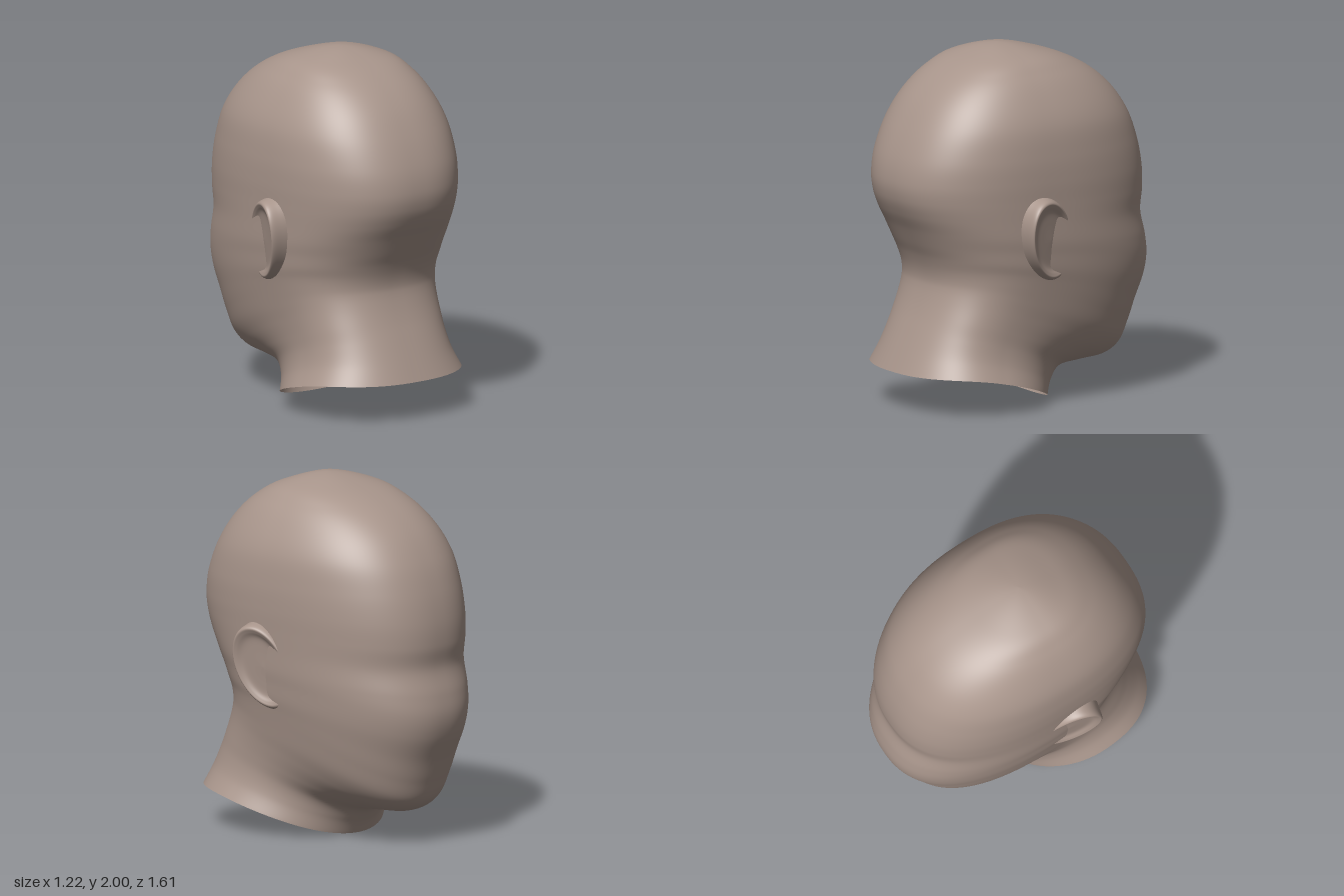
import * as THREE from 'three';

const material = new THREE.MeshStandardMaterial({ color: 0xa8958b, side: THREE.DoubleSide });

// Smoothly interpolates a table of rows; t runs from 0 to 1 between rows first and last.
function sample(rows, t, first, last) {
  const f = first + t * (last - first);
  const i = Math.min(Math.floor(f), last - 1);
  const k = f - i;
  const at = (n) => rows[Math.max(0, Math.min(rows.length - 1, n))];
  return rows[i].map((_, c) => {
    const [a, b, d, e] = [at(i - 1)[c], at(i)[c], at(i + 1)[c], at(i + 2)[c]];
    return b + 0.5 * k * (d - a + k * (2 * a - 5 * b + 4 * d - e + k * (3 * (b - d) + e - a)));
  });
}

// Skin over closed loops: point(t, angle) gives [x, y, z], t from the open rim to the pole.
function loopSkin(point, rows, cols) {
  const positions = [];
  const index = [];
  for (let j = 0; j <= rows; j++) {
    for (let i = 0; i < cols; i++) {
      positions.push(...point(j / rows, (i / cols) * Math.PI * 2));
      if (j === rows) continue;
      const a = j * cols + i;
      const b = j * cols + ((i + 1) % cols);
      index.push(a, a + cols, b, b, a + cols, b + cols);
    }
  }
  const geometry = new THREE.BufferGeometry();
  geometry.setAttribute('position', new THREE.Float32BufferAttribute(positions, 3));
  geometry.setIndex(index);
  geometry.computeVertexNormals();
  return geometry;
}

// Tilted rings, neck rim to crown: face z, face y, nape z, nape y, side z, side y, half width
const rings = [
  [-0.14, 0, 0.79, 0.22, 0.35, 0.18, 0.5],
  [-0.18, 0.08, 0.74, 0.33, 0.33, 0.27, 0.455],
  [-0.25, 0.15, 0.69, 0.44, 0.31, 0.36, 0.435],
  [-0.4, 0.165, 0.65, 0.53, 0.27, 0.44, 0.435],
  [-0.55, 0.18, 0.62, 0.61, 0.2, 0.52, 0.445],
  [-0.64, 0.24, 0.6, 0.68, 0.14, 0.59, 0.46],
  [-0.69, 0.36, 0.595, 0.73, 0.1, 0.66, 0.475],
  [-0.73, 0.48, 0.605, 0.79, 0.07, 0.73, 0.49],
  [-0.785, 0.62, 0.63, 0.86, 0.06, 0.8, 0.505],
  [-0.805, 0.74, 0.665, 0.93, 0.05, 0.88, 0.515],
  [-0.79, 0.86, 0.71, 1.02, 0.05, 0.96, 0.525],
  [-0.755, 1, 0.76, 1.11, 0.05, 1.07, 0.53],
  [-0.767, 1.13, 0.795, 1.2, 0.05, 1.18, 0.535],
  [-0.76, 1.27, 0.805, 1.3, 0.05, 1.3, 0.54],
  [-0.725, 1.43, 0.78, 1.43, 0.06, 1.44, 0.537],
  [-0.66, 1.59, 0.71, 1.59, 0.06, 1.6, 0.515],
  [-0.55, 1.74, 0.61, 1.74, 0.07, 1.74, 0.455],
  [-0.39, 1.86, 0.48, 1.86, 0.08, 1.86, 0.37],
  [-0.18, 1.945, 0.32, 1.945, 0.09, 1.945, 0.255],
  [0.09, 2, 0.09, 2, 0.09, 2, 0],
];
const crown = rings.length - 1;
// Ring mirrored through the crown so the top closes as a round dome
const [zF, yF, zB, yB, zS, yS, wS] = rings[crown - 1];
rings.push([zB, yB, zF, yF, zS, yS, -wS]);

function headPoint(t, angle) {
  const [faceZ, faceY, napeZ, napeY, sideZ, sideY, width] = sample(rings, t, 0, crown);
  const c = Math.cos(angle);
  const s = Math.sin(angle);
  // Squarish ovals: rounder at the throat, fuller at the face and the back
  const n = c > 0 ? 2 + 0.3 * THREE.MathUtils.smoothstep(t, 0.1, 0.35) : 2.45;
  const u = Math.sign(c) * Math.abs(c) ** (2 / n);
  const x = width * Math.sign(s) * Math.abs(s) ** (2 / n);
  const z = sideZ + Math.abs(u) * ((u > 0 ? faceZ : napeZ) - sideZ);
  const y = sideY + (u * (faceY - napeY)) / 2 + u * u * ((faceY + napeY) / 2 - sideY);
  return [x, y, z];
}

// Ear profile from the buried edge, over the rim, into the hollow: scale, offset
const earProfile = [
  [1.16, -0.13], [1.08, -0.07], [1.02, -0.02], [0.95, 0],
  [0.86, -0.005], [0.7, -0.02], [0.4, -0.022], [0, -0.02],
];

function earPoint(t, angle) {
  const [s, offset] = sample(earProfile, t, 0, earProfile.length - 1);
  const up = 0.23 * s * Math.cos(angle);
  const y = 0.97 + up;
  const z = 0.085 + 0.2 * up - 0.16 * s * Math.sin(angle);
  // The flap leans outwards towards the back and the top
  const x = 0.6 + 0.3 * (z - 0.2) + 0.12 * (y - 1.1) + offset;
  return [x, y, z];
}

export function createModel() {
  const model = new THREE.Group();
  model.name = 'mannequinHead';

  const head = new THREE.Mesh(loopSkin(headPoint, 152, 128), material);
  head.name = 'headAndNeck';
  model.add(head);

  const earGeometry = loopSkin(earPoint, 42, 72);
  for (const [name, side] of [['leftEar', 1], ['rightEar', -1]]) {
    const ear = new THREE.Mesh(earGeometry, material);
    ear.name = name;
    ear.scale.x = side;
    model.add(ear);
  }
  return model;
}
